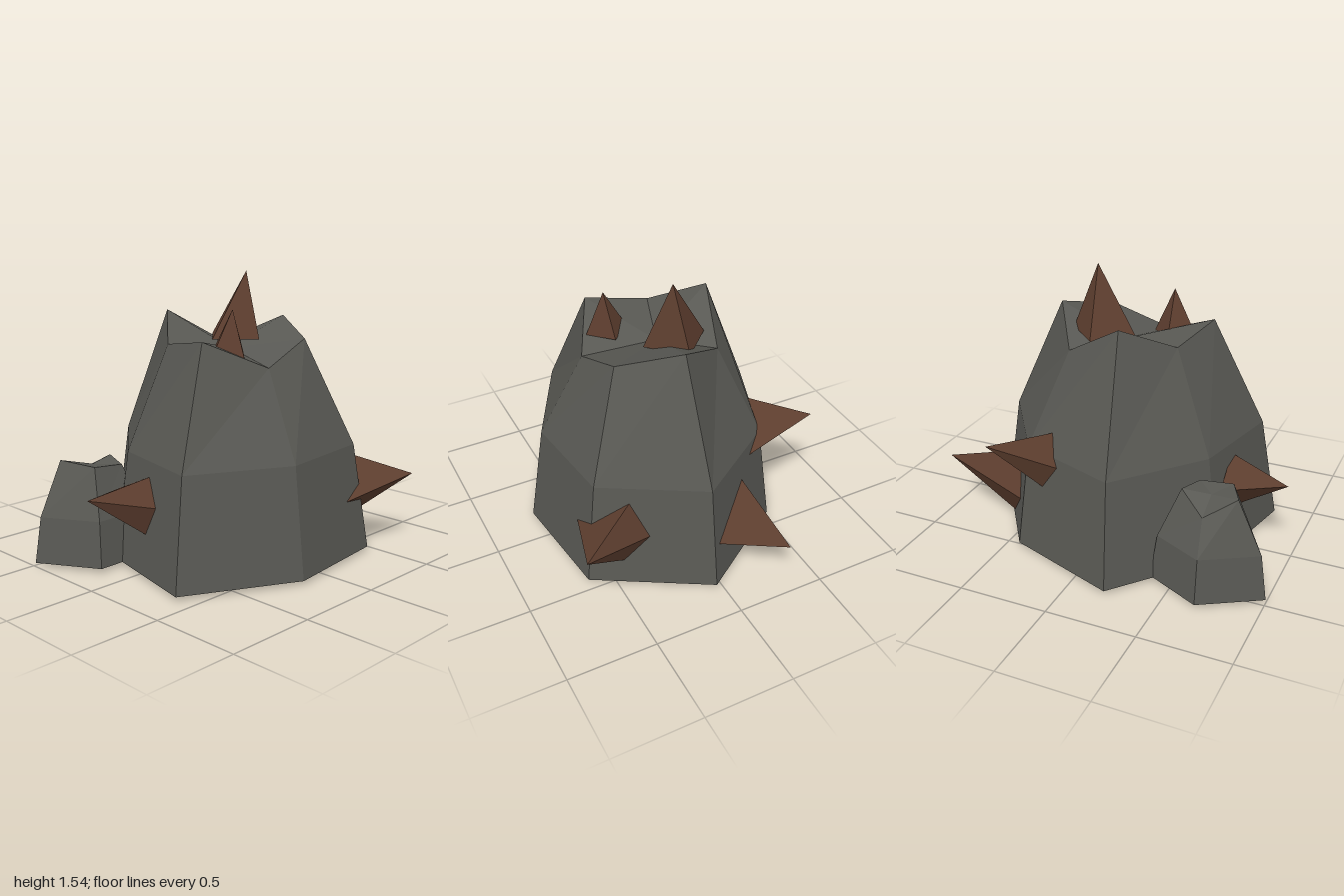
import * as THREE from 'three';
import { ConvexGeometry } from 'three/addons/geometries/ConvexGeometry.js';

const BASE_Y = 0.03;

// Faceted rock: base outline, a slightly narrower waist and a jagged rim.
// Base points are [x, z]; rim points are [x, y, z].
function rockGeometry(base, rim, center, waistY, waistScale, capY) {
  const [cx, cz] = center;
  const n = base.length;
  const rings = [
    base.map(([x, z]) => [x, BASE_Y, z]),
    base.map(([x, z]) => [cx + (x - cx) * waistScale, waistY, cz + (z - cz) * waistScale]),
    rim,
  ];
  const pos = [];
  const tri = (a, b, c) => pos.push(...a, ...b, ...c);
  for (let i = 0; i < n; i++) {
    const j = (i + 1) % n;
    for (let r = 0; r < 2; r++) {
      const lo = rings[r], hi = rings[r + 1];
      tri(lo[i], hi[i], lo[j]);
      tri(lo[j], hi[i], hi[j]);
    }
    tri([cx, capY, cz], rim[j], rim[i]);                    // sunken cap
    tri([cx, BASE_Y, cz], rings[0][i], rings[0][j]);        // underside
  }
  const g = new THREE.BufferGeometry();
  g.setAttribute('position', new THREE.Float32BufferAttribute(pos, 3));
  g.computeVertexNormals();
  return g;
}

// Four-sided spike from a tip through four corner points, sunk by a factor.
function spikeGeometry(tip, corners, sink) {
  const t = new THREE.Vector3(...tip);
  const pts = corners.map((c) => t.clone().lerp(new THREE.Vector3(...c), sink));
  return new ConvexGeometry([t, ...pts]);
}

// Corners of an upright spike
const diamond = (x, y, z, r) => [[x + r, y, z], [x, y, z + r], [x - r, y, z], [x, y, z - r]];

export function createModel() {
  const group = new THREE.Group();
  const stone = new THREE.MeshStandardMaterial({ color: 0x585853 });
  stone.name = 'dark grey stone';
  const rust = new THREE.MeshStandardMaterial({ color: 0x5c3d2e });
  rust.name = 'rusty brown';

  const add = (name, geometry, material) => {
    const mesh = new THREE.Mesh(geometry, material);
    mesh.name = name;
    group.add(mesh);
  };

  // Main boulder
  add('mainRock', rockGeometry(
    [[0.8, 0.035], [0.45, 0.64], [-0.19, 0.715], [-0.79, 0.4], [-0.65, -0.23], [-0.21, -0.75], [0.42, -0.52]],
    [[0.4, 1.288, 0.035], [0.22, 1.203, 0.35], [-0.11, 1.085, 0.39], [-0.43, 1.238, 0.225],
      [-0.35, 1.184, -0.12], [-0.125, 1.33, -0.37], [0.21, 1.13, -0.26]],
    [0, 0], 0.62, 0.882, 1.14), stone);

  // Small boulder leaning on the back corner
  add('smallRock', rockGeometry(
    [[-0.375, -0.52], [-0.45, -0.16], [-0.81, -0.155], [-1, -0.48], [-0.68, -0.67]],
    [[-0.51, 0.548, -0.435], [-0.555, 0.53, -0.28], [-0.74, 0.548, -0.28], [-0.825, 0.57, -0.465], [-0.66, 0.463, -0.535]],
    [-0.66, -0.4], 0.28, 0.89, 0.53), stone);

  // Spikes
  const spikes = [
    ['largeTopSpike', [0.15, 1.55, -0.02], diamond(0.1, 1.187, -0.055, 0.182), 1],
    ['smallTopSpike', [-0.2, 1.385, 0.215], diamond(-0.215, 1.14, 0.195, 0.12), 1],
    ['frontSpike', [0.71, 0.425, 0.745],
      [[0.28, 0.325, 0.62], [0.5, 0.53, 0.41], [0.58, 0.33, 0.33], [0.53, 0.17, 0.46]], 1.07],
    ['sideSpike', [1, 0.345, -0.28],
      [[0.735, 0.26, -0.01], [0.53, 0.465, -0.255], [0.5, 0.235, -0.385], [0.56, 0.03, -0.25]], 1.07],
    ['backSpike', [0.475, 0.715, -0.72],
      [[0.14, 0.564, -0.535], [0.23, 0.735, -0.49], [0.46, 0.563, -0.37], [0.26, 0.435, -0.53]], 1.07],
    ['farSideSpike', [-0.97, 0.465, -0.05],
      [[-0.66, 0.437, -0.18], [-0.64, 0.54, 0.045], [-0.68, 0.4, 0.135], [-0.68, 0.24, 0.06]], 1.07],
  ];
  for (const [name, tip, corners, sink] of spikes) add(name, spikeGeometry(tip, corners, sink), rust);

  return group;
}
